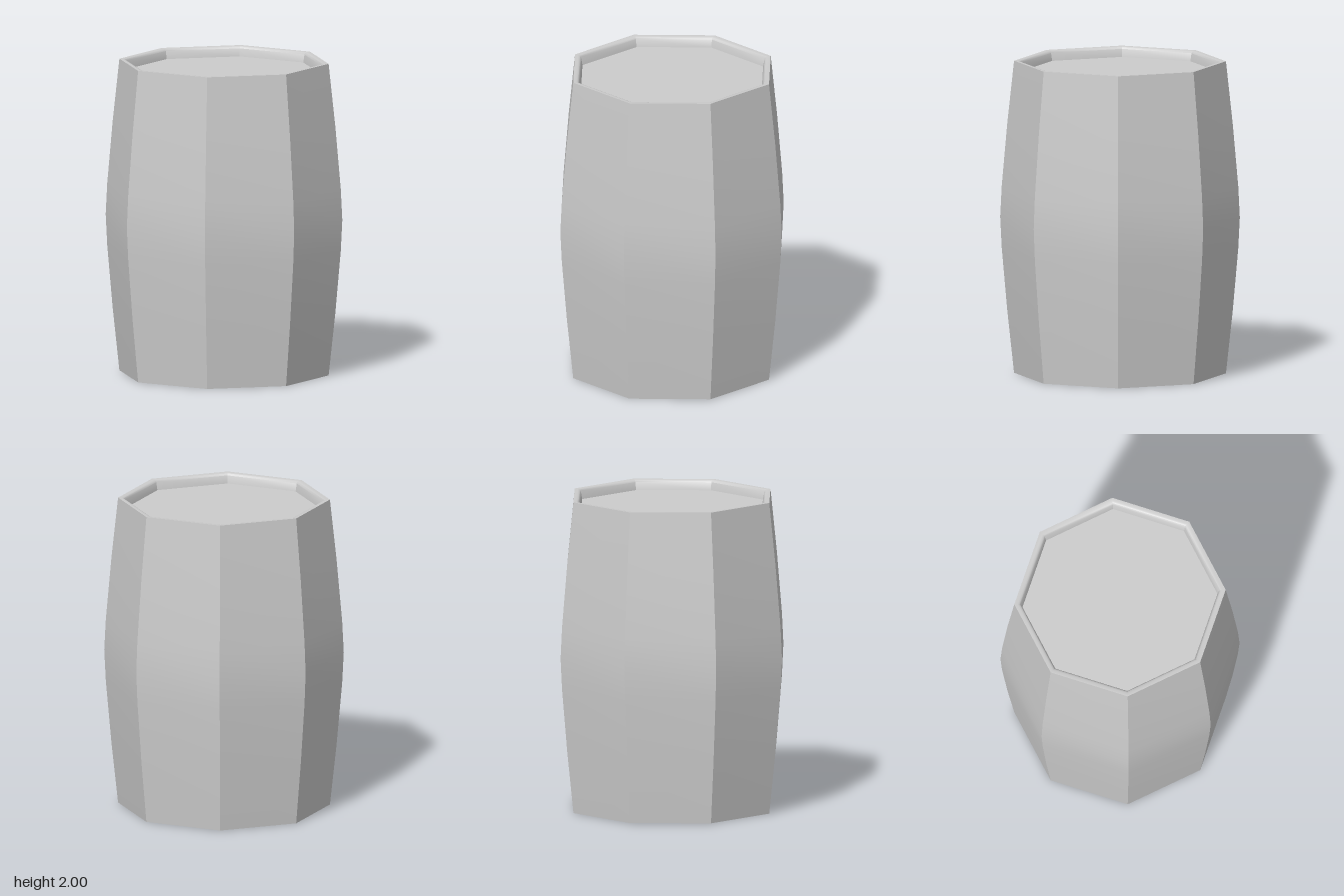
import * as THREE from 'three';
import { toCreasedNormals } from 'three/addons/utils/BufferGeometryUtils.js';

const SIDES = 8;
const HEIGHT = 2;
const HEAD_RADIUS = 0.62;
const RECESS = 0.065;

export function createModel() {
  const group = new THREE.Group();
  group.name = 'barrel';
  const material = new THREE.MeshStandardMaterial({ color: 0xcccccc });

  // Lower half of the profile: recess wall, rounded rim, bulging outside
  const lower = [
    [HEAD_RADIUS, RECESS], [0.63, 0.015], [0.638, 0.004], [0.65, 0], [0.672, 0],
    [0.715, 0.4], [0.75, 0.8],
  ];
  const upper = lower.map(([r, y]) => [r, HEIGHT - y]).reverse();
  const profile = [...lower, [0.76, HEIGHT / 2], ...upper]
    .map(([r, y]) => new THREE.Vector2(r, y));

  // Eight staves, smooth along their length and sharp between each other
  const staves = new THREE.Mesh(
    toCreasedNormals(new THREE.LatheGeometry(profile, SIDES), 0.7), material);
  staves.name = 'staves';
  group.add(staves);

  // Recessed flat heads at both ends
  for (const [name, y, tilt] of [
    ['topHead', HEIGHT - RECESS, -Math.PI / 2],
    ['bottomHead', RECESS, Math.PI / 2],
  ]) {
    const head = new THREE.Mesh(new THREE.CircleGeometry(HEAD_RADIUS, SIDES), material);
    head.name = name;
    head.position.y = y;
    head.rotation.x = tilt;
    group.add(head);
  }
  return group;
}
